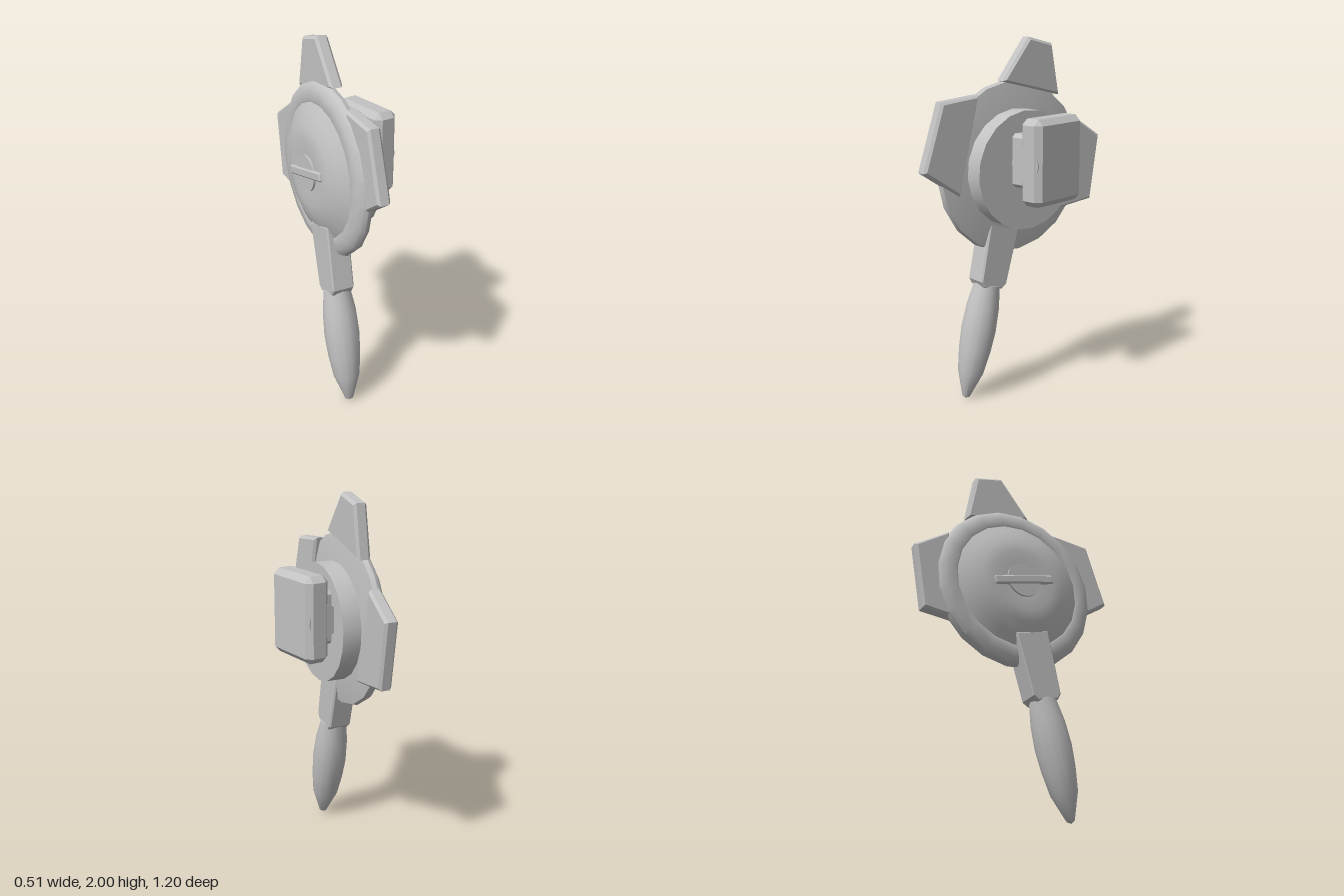
import * as THREE from 'three';
import { toCreasedNormals } from 'three/addons/utils/BufferGeometryUtils.js';
import { ConvexGeometry } from 'three/addons/geometries/ConvexGeometry.js';

const grey = new THREE.MeshStandardMaterial({ color: 0xc2c2c2 });
grey.name = 'grey';

function add(parent, name, geometry, x = 0, y = 0, z = 0) {
  const mesh = new THREE.Mesh(geometry, grey);
  mesh.name = name;
  mesh.position.set(x, y, z);
  parent.add(mesh);
  return mesh;
}

// Box with every edge chamfered by c
function chamferBox(w, h, d, c) {
  const pts = [];
  for (const i of [-1, 1]) for (const j of [-1, 1]) for (const k of [-1, 1]) {
    const x = i * w / 2, y = j * h / 2, z = k * d / 2;
    pts.push(new THREE.Vector3(x, y - j * c, z - k * c));
    pts.push(new THREE.Vector3(x - i * c, y, z - k * c));
    pts.push(new THREE.Vector3(x - i * c, y - j * c, z));
  }
  return new ConvexGeometry(pts);
}

// Plate outlined in local (z, y), reaching from x = front back by depth
function plate(points, front, depth, bevel) {
  const shape = new THREE.Shape(points.map(p => new THREE.Vector2(...p)));
  const g = new THREE.ExtrudeGeometry(shape, {
    depth: depth - 2 * bevel, bevelEnabled: true, bevelSegments: 1,
    bevelSize: bevel, bevelThickness: bevel, bevelOffset: -bevel,
  });
  return g.rotateY(-Math.PI / 2).translate(front - bevel, 0, 0);
}

// Solid of revolution from [radius, height] pairs, low to high
function turned(profile, sides, crease) {
  const g = new THREE.LatheGeometry(profile.map(p => new THREE.Vector2(...p)), sides);
  return toCreasedNormals(g, crease);
}

export function createModel() {
  const model = new THREE.Group();
  model.name = 'finnedDiscWithGrip';

  // Turned and rolled frame for the disc: local +x is the drum side
  const disc = new THREE.Group();
  disc.name = 'discAssembly';
  disc.position.set(0, 1.3, 0.02);
  disc.rotation.set(-0.238, -0.168, 0, 'YXZ');
  model.add(disc);

  // Domed disc with a raised rim
  add(disc, 'domedDisc', turned([
    [0, -0.208], [0.1, -0.21], [0.18, -0.217], [0.25, -0.205], [0.32, -0.172],
    [0.37, -0.146], [0.38, -0.15], [0.44, -0.142], [0.47, -0.122],
    [0.48, -0.1], [0.472, -0.075], [0.33, -0.05], [0, -0.05],
  ], 20, 0.6).rotateZ(-Math.PI / 2));

  // Drum
  add(disc, 'drum', turned([[0, -0.08], [0.327, -0.08], [0.327, 0.054], [0, 0.054]], 20, 0.6)
    .rotateZ(-Math.PI / 2));

  // Hub cap and cross bar on the dome
  add(disc, 'hubCap', turned([[0, -0.222], [0.1, -0.222], [0.1, -0.19], [0, -0.19]], 20, 0.6)
    .rotateZ(-Math.PI / 2));
  add(disc, 'crossBar', chamferBox(0.045, 0.05, 0.37, 0.008), -0.207, 0, 0);

  // Fins
  add(disc, 'topFin', plate([[-0.2, 0.44], [0.2, 0.44], [0.083, 0.703], [-0.083, 0.703]],
    -0.04, 0.075, 0.014));
  for (const s of [1, -1]) {
    add(disc, s > 0 ? 'frontFin' : 'rearFin', plate(
      [[s * 0.338, -0.2], [s * 0.59, -0.11], [s * 0.56, 0.265], [s * 0.338, 0.342]],
      -0.042, 0.075, 0.014));
  }

  // Neck and tapered grip
  add(disc, 'neck', plate([
    [-0.102, -0.29], [-0.088, -0.655], [-0.062, -0.685], [0.062, -0.685],
    [0.088, -0.655], [0.102, -0.29],
  ], -0.052, 0.13, 0.008));
  add(disc, 'grip', turned([
    [0, -1.338], [0.022, -1.325], [0.074, -1.18], [0.092, -1.05], [0.1, -0.93],
    [0.094, -0.8], [0.074, -0.67], [0, -0.665],
  ], 14, 0.7), -0.118, 0, 0);

  // Mount between drum and box
  add(model, 'mountBlock', chamferBox(0.11, 0.29, 0.29, 0.02), 0.075, 1.365, -0.005);
  add(model, 'pivotPin', toCreasedNormals(new THREE.CylinderGeometry(0.092, 0.092, 0.345, 16), 0.6)
    .rotateX(Math.PI / 2), 0.15, 1.36, -0.008);

  // Chamfered box
  add(model, 'mountBox', chamferBox(0.14, 0.465, 0.365, 0.032), 0.185, 1.368, -0.008);

  return model;
}
